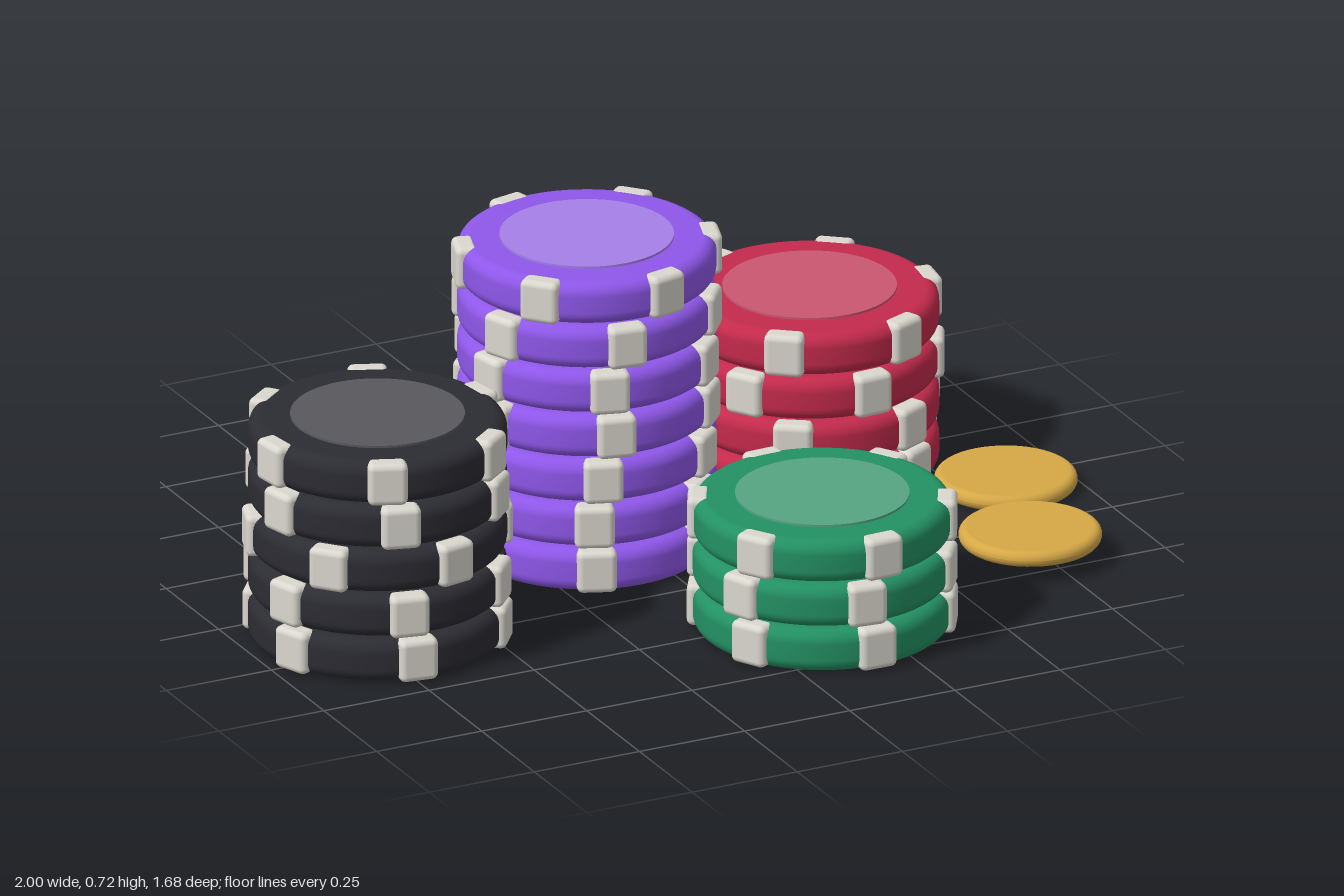
import * as THREE from 'three';
import { RoundedBoxGeometry } from 'three/addons/geometries/RoundedBoxGeometry.js';

const PITCH = 0.1025; // height of one chip in a stack

const paint = (color) => new THREE.MeshStandardMaterial({ color });

// Solid of revolution: a flat disc whose rim is rounded by an elliptical corner
function roundedDisc(radius, height, rimX, rimY, sides = 64) {
  const pts = [new THREE.Vector2(0, 0)];
  for (const [cy, start] of [[rimY, -Math.PI / 2], [height - rimY, 0]]) {
    for (let i = 0; i <= 6; i++) {
      const a = start + (i / 6) * Math.PI / 2;
      pts.push(new THREE.Vector2(radius - rimX + rimX * Math.cos(a), cy + rimY * Math.sin(a)));
    }
  }
  pts.push(new THREE.Vector2(0, height));
  return new THREE.LatheGeometry(pts, sides);
}

export function createModel() {
  const model = new THREE.Group();

  const chipGeo = roundedDisc(0.276, 0.097, 0.03, 0.03);
  const inlayGeo = new THREE.CylinderGeometry(0.186, 0.186, 0.01, 48);
  const blockGeo = new RoundedBoxGeometry(0.05, 0.095, 0.086, 3, 0.014);
  const coinGeo = roundedDisc(0.153, 0.036, 0.018, 0.018, 48);
  const cream = paint(0xdad7ce);
  const gold = paint(0xd6a846);

  // One chip: rounded body, raised inlay and six edge blocks
  function makeChip(bodyMat, inlayMat, turn) {
    const chip = new THREE.Group();
    chip.name = 'chip';
    const body = new THREE.Mesh(chipGeo, bodyMat);
    body.name = 'chipBody';
    const inlay = new THREE.Mesh(inlayGeo, inlayMat);
    inlay.name = 'chipInlay';
    inlay.position.y = 0.097;
    chip.add(body, inlay);
    for (let i = 0; i < 6; i++) {
      const a = THREE.MathUtils.degToRad(turn + i * 60);
      const block = new THREE.Mesh(blockGeo, cream);
      block.name = 'edgeBlock';
      block.position.set(0.262 * Math.cos(a), 0.0505, 0.262 * Math.sin(a));
      block.rotation.y = -a;
      chip.add(block);
    }
    return chip;
  }

  // Stacks, with the turn of each chip in degrees from the bottom up
  const stacks = [
    { name: 'blackStack', x: -0.71, z: 0.175, body: 0x2c2c33, inlay: 0x58585d, turns: [38, 42, 19, 46, 52] },
    { name: 'purpleStack', x: -0.09, z: -0.07, body: 0x8f57ea, inlay: 0xa57fe8, turns: [52, 53, 49, 43, 46, 38, 18] },
    { name: 'redStack', x: 0.535, z: -0.26, body: 0xc42a4c, inlay: 0xca5770, turns: [0, 4, 27, 8] },
    { name: 'greenStack', x: 0.16, z: 0.55, body: 0x239163, inlay: 0x56a583, turns: [31, 36, 28] },
  ];
  for (const s of stacks) {
    const stack = new THREE.Group();
    stack.name = s.name;
    stack.position.set(s.x, 0, s.z);
    const bodyMat = paint(s.body), inlayMat = paint(s.inlay);
    s.turns.forEach((turn, level) => {
      const chip = makeChip(bodyMat, inlayMat, turn);
      chip.position.y = level * PITCH;
      stack.add(chip);
    });
    model.add(stack);
  }

  // Loose coins around the stacks
  for (const [x, y, z] of [[-0.275, 0.003, -0.69], [0.845, 0.003, 0.053], [0.717, 0.039, 0.425]]) {
    const coin = new THREE.Mesh(coinGeo, gold);
    coin.name = 'coin';
    coin.position.set(x, y, z);
    model.add(coin);
  }

  return model;
}
